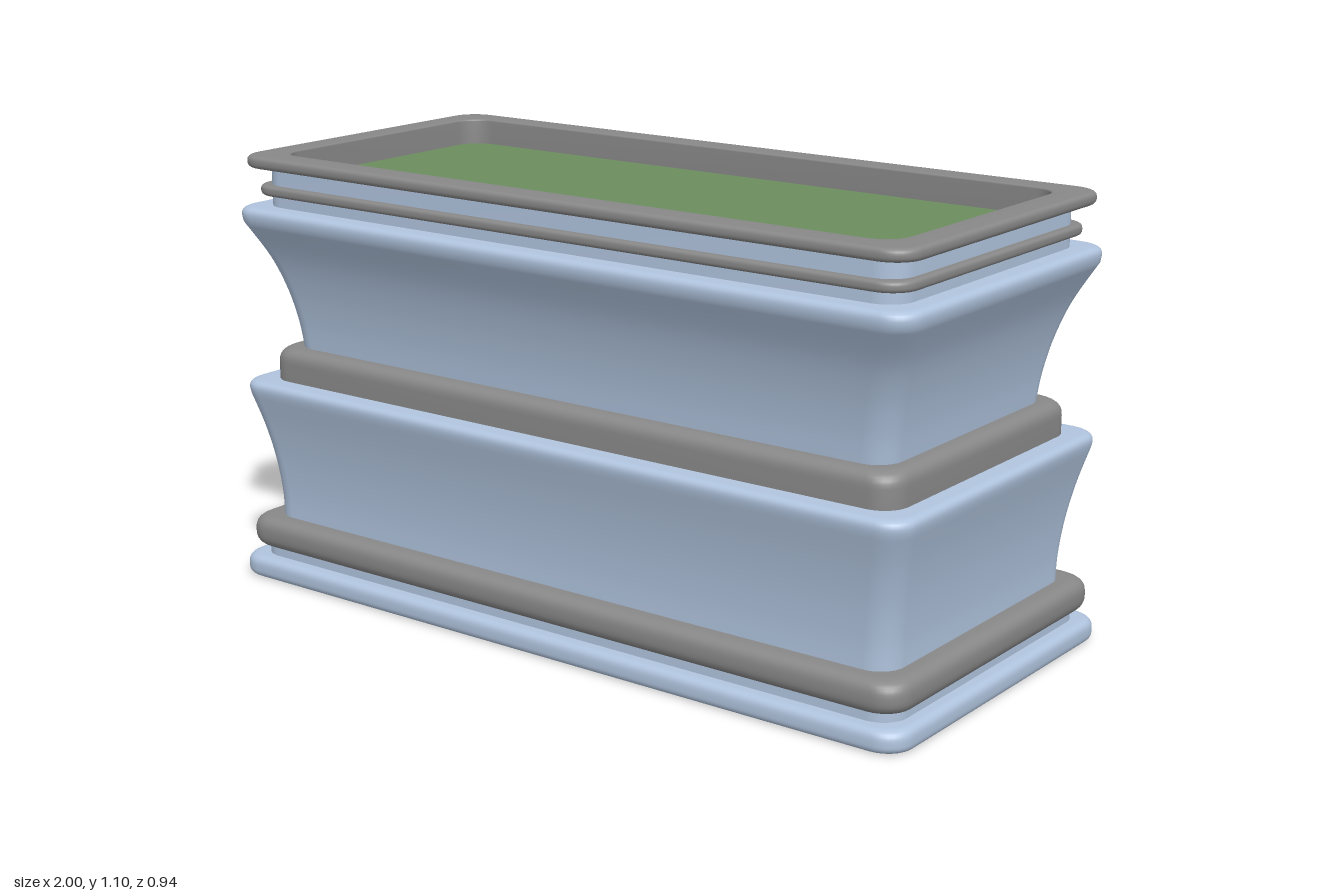
import * as THREE from 'three';
import { toCreasedNormals } from 'three/addons/utils/BufferGeometryUtils.js';

const BLUE = new THREE.MeshStandardMaterial({ color: 0xb0c4de });
const GREY = new THREE.MeshStandardMaterial({ color: 0x888888 });
const GREEN = new THREE.MeshStandardMaterial({ color: 0x6b8e5e });

const EXTRA = 0.53;   // how much longer the half width is than the half depth
const CORNER = 0.065; // plan corner radius
const STEPS = 8;      // segments per plan corner

// Rounded rectangle outline for half depth d, as [x, z] pairs
function outline(d) {
  const ring = [];
  const signs = [[1, 1], [-1, 1], [-1, -1], [1, -1]];
  signs.forEach(([sx, sz], q) => {
    for (let i = 0; i <= STEPS; i++) {
      const t = (q + i / STEPS) * Math.PI / 2;
      ring.push([sx * (d + EXTRA - CORNER) + CORNER * Math.cos(t),
        sz * (d - CORNER) + CORNER * Math.sin(t)]);
    }
  });
  return ring;
}

// Profile of [d, y, radius] corners; corners with a radius are rounded off
function roundProfile(points) {
  const out = [];
  points.forEach(([d, y, r], i) => {
    const p = new THREE.Vector2(d, y);
    if (!r) { out.push(p); return; }
    const toward = (q) => new THREE.Vector2(q[0], q[1]).sub(p).setLength(r).add(p);
    const a = toward(points[i - 1]), b = toward(points[i + 1]);
    out.push(...new THREE.QuadraticBezierCurve(a, p, b).getPoints(7));
  });
  return out;
}

// Sweep a profile (running upward on the outside) around the rounded rectangle
function sweep(name, profile, material) {
  const rings = profile.map((p) => outline(p.x));
  const n = rings[0].length;
  const pos = [], index = [];
  rings.forEach((ring, j) => ring.forEach(([x, z]) => pos.push(x, profile[j].y, z)));
  for (let j = 0; j < rings.length - 1; j++) {
    for (let i = 0; i < n; i++) {
      const a = j * n + i, b = j * n + (i + 1) % n;
      index.push(a, a + n, b, b, a + n, b + n);
    }
  }
  let geo = new THREE.BufferGeometry();
  geo.setAttribute('position', new THREE.Float32BufferAttribute(pos, 3));
  geo.setIndex(index);
  // enlarged while creasing so that close vertices stay distinct
  geo.scale(100, 100, 100);
  geo = toCreasedNormals(geo, 0.7);
  geo.scale(0.01, 0.01, 0.01);
  const mesh = new THREE.Mesh(geo, material);
  mesh.name = name;
  return mesh;
}

// Flat rounded rectangle facing up or down
function sheet(name, d, y, up, material) {
  const shape = new THREE.Shape(outline(d).map(([x, z]) => new THREE.Vector2(x, z)));
  const geo = new THREE.ShapeGeometry(shape);
  geo.rotateX(up ? -Math.PI / 2 : Math.PI / 2);
  const mesh = new THREE.Mesh(geo, material);
  mesh.name = name;
  mesh.position.y = y;
  return mesh;
}

// Solid band with rounded lower and upper edges
const band = (name, d, y0, y1, r0, r1, material) =>
  sweep(name, roundProfile([[0.3, y0], [d, y0, r0], [d, y1, r1], [0.3, y1]]), material);

// Concave body: flared wall, then a rounded shoulder folding inward
function flaredBody(name, wall, y1) {
  const curve = new THREE.SplineCurve(wall.map(([d, y]) => new THREE.Vector2(d, y)));
  const d = wall[wall.length - 1][0];
  const last = wall[wall.length - 1];
  const shoulder = roundProfile([last, [d + 0.006, y1, 0.026], [0.3, y1]]).slice(1);
  return sweep(name, [...curve.getPoints(24), ...shoulder], BLUE);
}

export function createModel() {
  const group = new THREE.Group();
  group.name = 'planter';

  // Foot
  group.add(
    sheet('underside', 0.455, 0, false, BLUE),
    band('plinth', 0.47, 0, 0.055, 0.02, 0.024, BLUE),
    band('footNeck', 0.43, 0.05, 0.085, 0, 0, BLUE),
    band('footBand', 0.455, 0.077, 0.157, 0.035, 0.035, GREY),
  );

  // Two flared tiers with a band between them
  group.add(
    flaredBody('lowerBody', [[0.402, 0.15], [0.404, 0.22], [0.414, 0.31],
      [0.431, 0.4], [0.453, 0.485]], 0.52),
    band('middleBand', 0.4, 0.515, 0.602, 0, 0.036, GREY),
    flaredBody('upperBody', [[0.354, 0.595], [0.363, 0.67], [0.381, 0.755],
      [0.409, 0.84], [0.453, 0.93]], 0.968),
  );

  // Neck, thin ring and rim
  group.add(
    band('topNeck', 0.4, 0.96, 1.07, 0, 0, BLUE),
    band('thinRing', 0.42, 0.996, 1.022, 0.011, 0.011, GREY),
    sweep('rim', roundProfile([[0.365, 1.066], [0.442, 1.066, 0.014],
      [0.442, 1.097, 0.014], [0.365, 1.097, 0.005], [0.365, 1.02]]), GREY),
    sheet('soil', 0.37, 1.031, true, GREEN),
  );

  // The neck stays open at the top so that the soil is visible
  const neck = group.getObjectByName('topNeck');
  neck.geometry = sweep('', roundProfile([[0.4, 0.96], [0.4, 1.07]]), BLUE).geometry;
  group.getObjectByName('thinRing').geometry = sweep('', roundProfile([[0.39, 0.996],
    [0.42, 0.996, 0.011], [0.42, 1.022, 0.011], [0.39, 1.022]]), GREY).geometry;
  return group;
}
